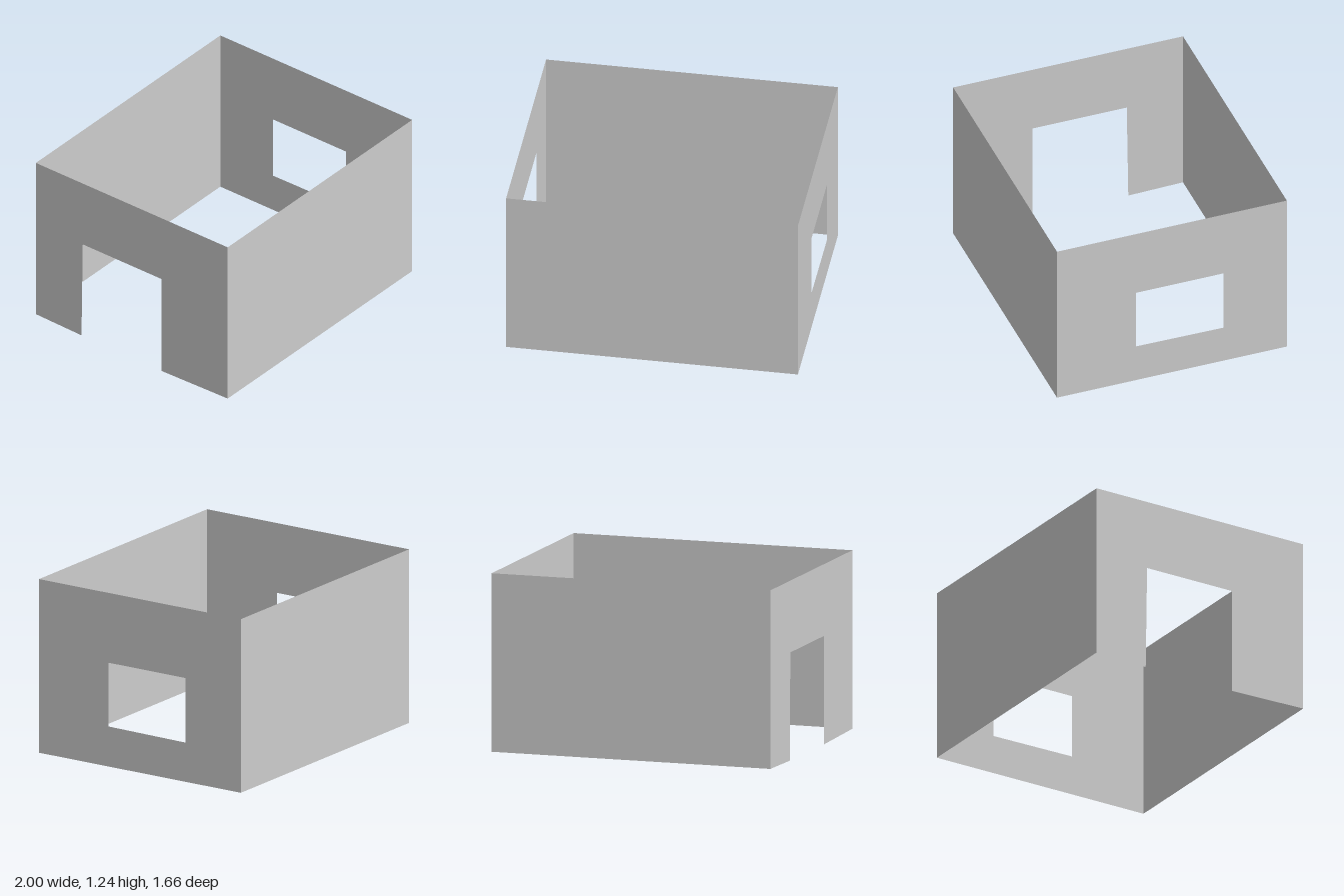
import * as THREE from 'three';

const HALF_WIDTH = 1, HALF_DEPTH = 0.83, BASE = 0.012, TOP = 1.238;

const shapeFrom = (points) => new THREE.Shape(points.map(([a, b]) => new THREE.Vector2(a, b)));

export function createModel() {
  const group = new THREE.Group();
  const material = new THREE.MeshStandardMaterial({ color: 0xcccccc, side: THREE.DoubleSide, flatShading: true });

  function addWall(name, shape, x, z, turn) {
    const wall = new THREE.Mesh(new THREE.ShapeGeometry(shape), material);
    wall.name = name;
    wall.rotation.y = turn;
    wall.position.set(x, 0, z);
    group.add(wall);
  }

  // Plain front and back walls
  const plain = shapeFrom([[-HALF_WIDTH, BASE], [HALF_WIDTH, BASE], [HALF_WIDTH, TOP], [-HALF_WIDTH, TOP]]);
  addWall('frontWall', plain, 0, HALF_DEPTH, 0);
  addWall('backWall', plain, 0, -HALF_DEPTH, Math.PI);

  // Side wall with a window; profile is drawn in (-z, y)
  const windowWall = shapeFrom([[-HALF_DEPTH, BASE], [HALF_DEPTH, BASE], [HALF_DEPTH, TOP], [-HALF_DEPTH, TOP]]);
  windowWall.holes.push(shapeFrom([[-0.258, 0.295], [-0.258, 0.745], [0.373, 0.745], [0.373, 0.289]]));
  addWall('windowWall', windowWall, HALF_WIDTH, 0, Math.PI / 2);

  // Side wall with a doorway reaching the ground; profile is drawn in (z, y)
  const doorWall = shapeFrom([
    [-HALF_DEPTH, BASE], [-0.435, 0.003], [-0.424, 0.745], [0.257, 0.745],
    [0.257, 0], [HALF_DEPTH, BASE], [HALF_DEPTH, TOP], [-HALF_DEPTH, TOP],
  ]);
  addWall('doorWall', doorWall, -HALF_WIDTH, 0, -Math.PI / 2);

  return group;
}
